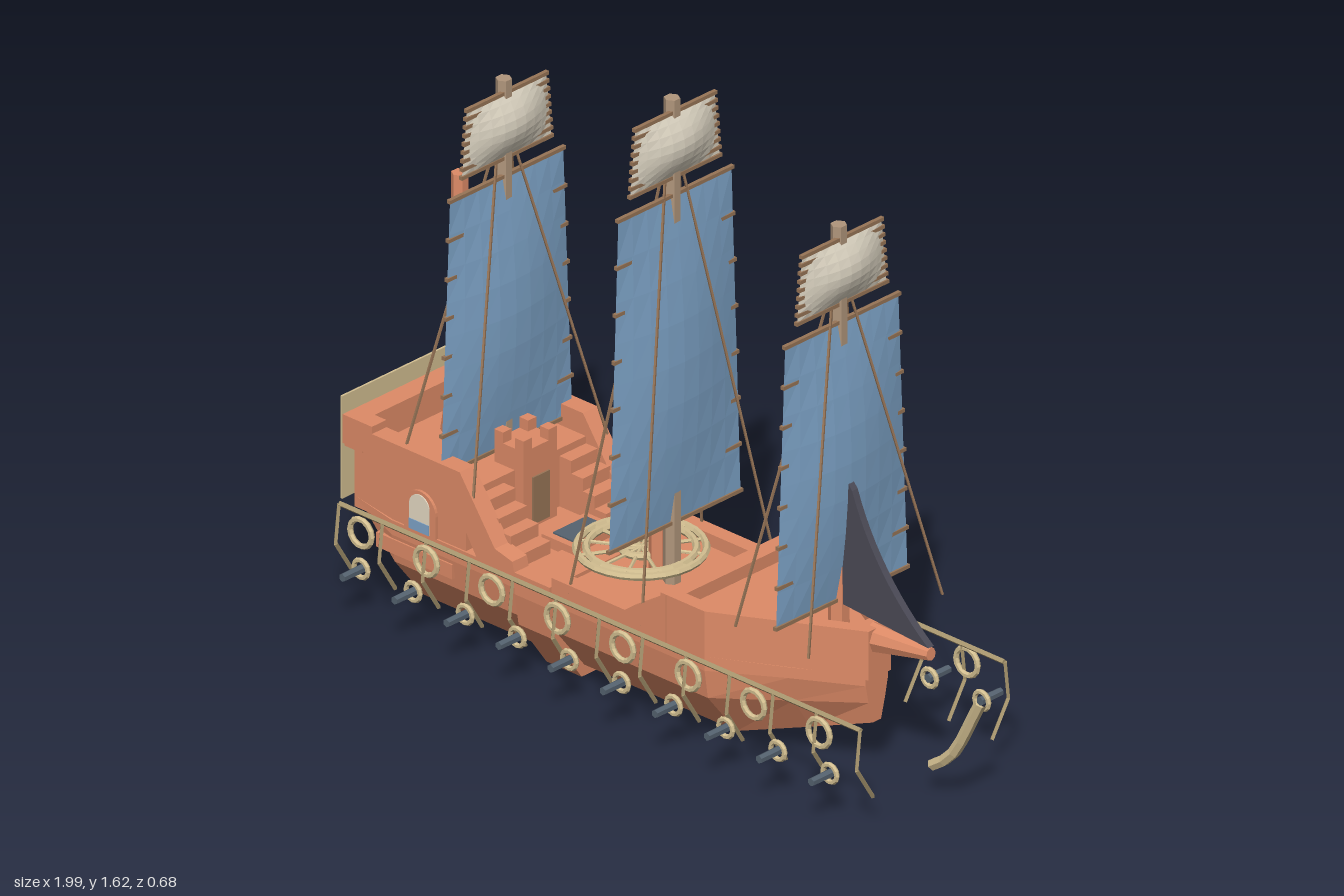
import * as THREE from 'three';

const mat = (name, color) => {
  const m = new THREE.MeshStandardMaterial({ color, flatShading: true });
  m.name = name;
  return m;
};

export function createModel() {
  const ship = new THREE.Group();
  ship.name = 'sailingShip';
  const M = {
    hull: mat('redWood', 0xde8b67),
    mast: mat('mastWood', 0xb0957b),
    dark: mat('battenWood', 0x987557),
    tan: mat('brassTan', 0xd2be90),
    rail: mat('railWood', 0xa8966e),
    blue: mat('blueSail', 0x7ea4c8),
    cream: mat('creamSail', 0xded6c4),
    slate: mat('slateSail', 0x4b4a56),
    iron: mat('iron', 0x55626f),
    pane: mat('windowPane', 0xe6dac4),
  };
  for (const m of [M.blue, M.cream, M.slate]) m.side = THREE.DoubleSide;

  const add = (name, geo, m, x = 0, y = 0, z = 0, parent = ship) => {
    const mesh = new THREE.Mesh(geo, m);
    mesh.name = name;
    mesh.position.set(x, y, z);
    parent.add(mesh);
    return mesh;
  };
  // Box given by its limits
  const box = (name, m, x0, x1, y0, y1, z0, z1) =>
    add(name, new THREE.BoxGeometry(x1 - x0, y1 - y0, z1 - z0), m, (x0 + x1) / 2, (y0 + y1) / 2, (z0 + z1) / 2);
  // Round bar between two points
  const bar = (name, m, a, b, r0, r1 = r0, sides = 6) => {
    const p = new THREE.Vector3(...a), q = new THREE.Vector3(...b), d = q.clone().sub(p);
    const mesh = add(name, new THREE.CylinderGeometry(r1, r0, d.length(), sides), m);
    mesh.position.copy(p).add(q).multiplyScalar(0.5);
    mesh.quaternion.setFromUnitVectors(new THREE.Vector3(0, 1, 0), d.normalize());
    return mesh;
  };
  const shape = (pts) => new THREE.Shape(pts.map((p) => new THREE.Vector2(...p)));
  // Side profile in x,y extruded between two z values
  const profile = (name, m, pts, z0, z1) =>
    add(name, new THREE.ExtrudeGeometry(shape(pts), { depth: z1 - z0, bevelEnabled: false }), m, 0, 0, z0);
  // Deck plan in x,z extruded upward, with an optional hole
  const plan = (name, m, pts, y0, y1, hole) => {
    const s = shape(pts.map(([x, z]) => [x, -z]));
    if (hole) s.holes.push(shape(hole.map(([x, z]) => [x, -z])));
    const g = new THREE.ExtrudeGeometry(s, { depth: y1 - y0, bevelEnabled: false });
    return add(name, g.rotateX(-Math.PI / 2), m, 0, y0, 0);
  };
  // Mirrored cross-sections [x, [[z, y], ...]] joined from stern to bow
  const loft = (name, m, stations) => {
    const rings = stations.map(([x, half]) => [
      ...half.map(([z, y]) => [x, y, z]),
      ...half.slice().reverse().map(([z, y]) => [x, y, -z]),
    ]);
    const n = rings[0].length, pos = [];
    const tri = (a, b, c) => pos.push(...a, ...b, ...c);
    for (let s = 0; s < rings.length - 1; s++)
      for (let i = 0; i < n; i++) {
        const j = (i + 1) % n, A = rings[s], B = rings[s + 1];
        tri(A[i], A[j], B[i]);
        tri(B[i], A[j], B[j]);
      }
    const first = rings[0], last = rings[rings.length - 1];
    for (let i = 1; i < n - 1; i++) {
      tri(first[0], first[i + 1], first[i]);
      tri(last[0], last[i], last[i + 1]);
    }
    const g = new THREE.BufferGeometry();
    g.setAttribute('position', new THREE.Float32BufferAttribute(pos, 3));
    g.computeVertexNormals();
    return add(name, g, m);
  };

  // Hull body and the heavy rib around its middle
  const full = [[0.24, 0.28], [0.24, 0.24], [0.228, 0.16], [0.125, 0.03]];
  loft('hull', M.hull, [
    [-0.93, [[0.235, 0.3], [0.235, 0.295], [0.22, 0.29], [0.2, 0.28]]],
    [-0.8, full],
    [0.27, full],
    [0.46, [[0.14, 0.28], [0.14, 0.25], [0.12, 0.18], [0.06, 0.085]]],
    [0.63, [[0.04, 0.28], [0.04, 0.25], [0.03, 0.2], [0.015, 0.14]]],
  ]);
  const rib = [[0.25, 0.29], [0.25, 0.23], [0.235, 0.14], [0.135, 0]];
  loft('hullRib', M.hull, [[-0.37, rib], [-0.25, rib]]);

  // Forecastle deck with bulwark
  const bow = [[0.12, 0.24], [0.27, 0.24], [0.64, 0.04], [0.64, -0.04], [0.27, -0.24], [0.12, -0.24]];
  plan('foreDeck', M.hull, bow, 0.27, 0.37);
  const inner = [[0.17, 0.2], [0.26, 0.2], [0.59, 0.025], [0.59, -0.025], [0.26, -0.2], [0.17, -0.2]];
  plan('foreBulwark', M.hull, bow, 0.36, 0.405, inner);
  bar('bowSpur', M.hull, [0.62, 0.37, 0], [0.815, 0.39, 0], 0.04, 0.017, 8);

  // Aft cabin and deck
  box('aftCabin', M.hull, -0.93, -0.55, 0.27, 0.44, -0.235, 0.235);
  box('sternWall', M.hull, -0.96, -0.9, 0.43, 0.52, -0.24, 0.24);
  box('stairHouse', M.hull, -0.62, -0.52, 0.28, 0.5, -0.06, 0.06);
  box('houseDoor', M.dark, -0.521, -0.515, 0.29, 0.42, -0.03, 0.03);
  for (const z of [-0.045, 0.045])
    for (const x of [-0.605, -0.535]) box('housePost', M.hull, x - 0.015, x + 0.015, 0.5, 0.53, z - 0.015, z + 0.015);

  // Bulwarks, steps and arched cabin windows on both sides
  const aftRail = [[-0.96, 0.44], [-0.6, 0.44], [-0.5, 0.28], [-0.37, 0.27], [-0.38, 0.315], [-0.44, 0.33], [-0.56, 0.5], [-0.86, 0.5], [-0.86, 0.52], [-0.96, 0.52]];
  const midRail = [[-0.25, 0.27], [0.14, 0.27], [0.14, 0.405], [0, 0.315], [-0.25, 0.315]];
  const arch = (w, h) => {
    const s = new THREE.Shape();
    s.moveTo(-w, 0).lineTo(w, 0).lineTo(w, h);
    s.absarc(0, h, w, 0, Math.PI, false);
    return s;
  };
  for (const side of [1, -1]) {
    const span = (a, b) => (side > 0 ? [a, b] : [-b, -a]);
    profile('aftBulwark', M.hull, aftRail, ...span(0.195, 0.247));
    profile('midBulwark', M.hull, midRail, ...span(0.2, 0.243));
    box('sideStrake', M.hull, -0.85, -0.59, 0.19, 0.23, ...span(0.2, 0.243));
    box('foreStep', M.hull, 0.06, 0.13, 0.27, 0.33, ...span(0.1, 0.21));
    for (let i = 0; i < 4; i++)
      box('aftStair', M.hull, -0.56, -0.39 - i * 0.04, 0.27 + i * 0.035, 0.315 + i * 0.035, ...span(0.1, 0.2));
    const win = new THREE.Group();
    win.name = 'cabinWindow';
    win.position.set(-0.7, 0.28, side * 0.235);
    if (side < 0) win.rotation.y = Math.PI;
    ship.add(win);
    const flat = (w, h, d) => new THREE.ExtrudeGeometry(arch(w, h), { depth: d, bevelEnabled: false, curveSegments: 8 });
    add('windowFrame', flat(0.054, 0.062, 0.008), M.hull, 0, 0, 0, win);
    add('windowPane', flat(0.034, 0.068, 0.004), M.pane, 0, 0.005, 0.007, win);
    add('windowLower', new THREE.BoxGeometry(0.068, 0.028, 0.004), M.blue, 0, 0.019, 0.011, win);
  }

  // Hatch and spoked deck wheel
  box('hatchFrame', M.hull, -0.44, -0.33, 0.27, 0.31, -0.08, 0.08);
  box('hatchOpening', M.iron, -0.42, -0.35, 0.309, 0.314, -0.06, 0.06);
  for (const r of [0.162, 0.137, 0.05])
    add('wheelRing', new THREE.TorusGeometry(r, 0.01, 6, 28).rotateX(Math.PI / 2), M.tan, -0.175, 0.337, 0);
  for (let i = 0; i < 12; i++) {
    const a = (i * Math.PI) / 6;
    bar('wheelSpoke', M.tan, [-0.175, 0.337, 0], [-0.175 + 0.155 * Math.cos(a), 0.337, 0.155 * Math.sin(a)], 0.005);
  }

  // Bare posts and lookout basket
  bar('aftPost', M.hull, [-0.795, 0.44, 0], [-0.795, 1.16, 0], 0.026, 0.022);
  bar('aftPostBase', M.hull, [-0.795, 0.44, 0], [-0.795, 0.53, 0], 0.05, 0.038);
  bar('lookoutPost', M.hull, [-0.115, 0.28, 0], [-0.115, 1.225, 0], 0.027, 0.02);
  const cup = [[0.01, 0], [0.045, 0], [0.062, 0.09], [0.052, 0.09], [0.04, 0.015], [0.01, 0.015]];
  add('lookoutBasket', new THREE.LatheGeometry(cup.map((p) => new THREE.Vector2(...p)), 8), M.hull, -0.13, 0.95, 0);

  // Bulging sail with straight battens that show at its edges and back
  const sail = (name, m, x, y0, y1, w0, w1, bulge, battens) => {
    const g = new THREE.PlaneGeometry(2, 1, 8, 8), p = g.attributes.position;
    for (let i = 0; i < p.count; i++) {
      const u = -p.getX(i), t = p.getY(i) + 0.5;
      p.setXYZ(i, x + bulge * Math.sin(Math.PI * t) * Math.cos((u * Math.PI) / 2), y0 + (y1 - y0) * t, u * (w0 + (w1 - w0) * t));
    }
    g.computeVertexNormals();
    add(name, g, m);
    for (let i = 0; i <= battens; i++) {
      const t = i / battens, w = w0 + (w1 - w0) * t + 0.005, y = y0 + (y1 - y0) * t;
      box('batten', M.dark, x - 0.006, x + 0.005, y - 0.005, y + 0.005, -w, w);
    }
  };

  // Masts, each with main sail, topsail and four stays
  for (const [x, foot, top, y0, y1, stayY] of [
    [-0.645, 0.44, 1.475, 0.46, 1.21, 0.44],
    [-0.07, 0.28, 1.625, 0.45, 1.36, 0.29],
    [0.5, 0.36, 1.475, 0.44, 1.21, 0.4],
  ]) {
    bar('mast', M.mast, [x, foot, 0], [x, top, 0], 0.023, 0.021, 6);
    sail('mainSail', M.blue, x + 0.01, y0, y1, 0.235, 0.203, 0.034, 7);
    sail('topSail', M.cream, x + 0.01, top - 0.215, top - 0.035, 0.16, 0.142, 0.035, 8);
    for (const sx of [-1, 1])
      for (const sz of [-1, 1])
        bar('stay', M.dark, [x, top - 0.15, sz * 0.02], [x + sx * 0.125, stayY, sz * 0.24], 0.004, 0.004, 4);
  }
  bar('foreMastSleeve', M.hull, [0.5, 0.36, 0], [0.5, 0.6, 0], 0.028, 0.025, 6);

  // Fore staysail
  const jib = new THREE.Shape();
  jib.moveTo(0.52, 0.43).lineTo(0.815, 0.41);
  jib.quadraticCurveTo(0.63, 0.55, 0.555, 0.755).lineTo(0.53, 0.785).lineTo(0.515, 0.77);
  add('staySail', new THREE.ExtrudeGeometry(jib, { depth: 0.02, bevelEnabled: false }), M.slate, 0, 0, -0.01);

  // Outboard rails, legs, rings and guns
  for (const s of [1, -1]) {
    bar('sideRail', M.rail, [-0.96, 0.275, s * 0.257], [0.82, 0.275, s * 0.257], 0.008, 0.008, 4);
    for (let i = 0; i <= 12; i++) {
      const x = -0.96 + (i * 1.78) / 12;
      bar('railLeg', M.rail, [x, 0.275, s * 0.26], [x, 0.17, s * 0.272], 0.006, 0.006, 4);
      bar('railFoot', M.rail, [x, 0.17, s * 0.272], [x, 0.075, s * 0.213], 0.006, 0.006, 4);
    }
    for (let i = 0; i < 8; i++)
      add('railRing', new THREE.TorusGeometry(0.037, 0.008, 6, 14), M.tan, -0.88 + i * 0.2236, 0.225, s * 0.265);
    for (let i = 0; i < 10; i++) {
      const x = -0.873 + i * 0.178;
      add('gunRing', new THREE.TorusGeometry(0.024, 0.007, 6, 12), M.tan, x, 0.13, s * 0.272);
      bar('gun', M.iron, [x, 0.13, s * 0.265], [x, 0.13, s * 0.34], 0.012, 0.011, 6);
    }
  }

  // Bent pole ahead of the bow
  const path = new THREE.CatmullRomCurve3([[0.82, 0.085, 0], [0.885, 0.135, 0], [0.985, 0.315, 0]].map((p) => new THREE.Vector3(...p)));
  add('bowPole', new THREE.TubeGeometry(path, 6, 0.016, 6), M.tan);

  // Stern gallery with rows of windows
  box('sternGallery', M.tan, -0.993, -0.987, 0.265, 0.55, -0.22, 0.22);
  for (let r = 0; r < 3; r++)
    for (let c = 0; c < 6; c++) {
      const y = 0.315 + r * 0.092, z = -0.18 + c * 0.072;
      box('galleryWindow', M.blue, -0.996, -0.992, y - 0.023, y + 0.023, z - 0.014, z + 0.014);
    }
  return ship;
}
